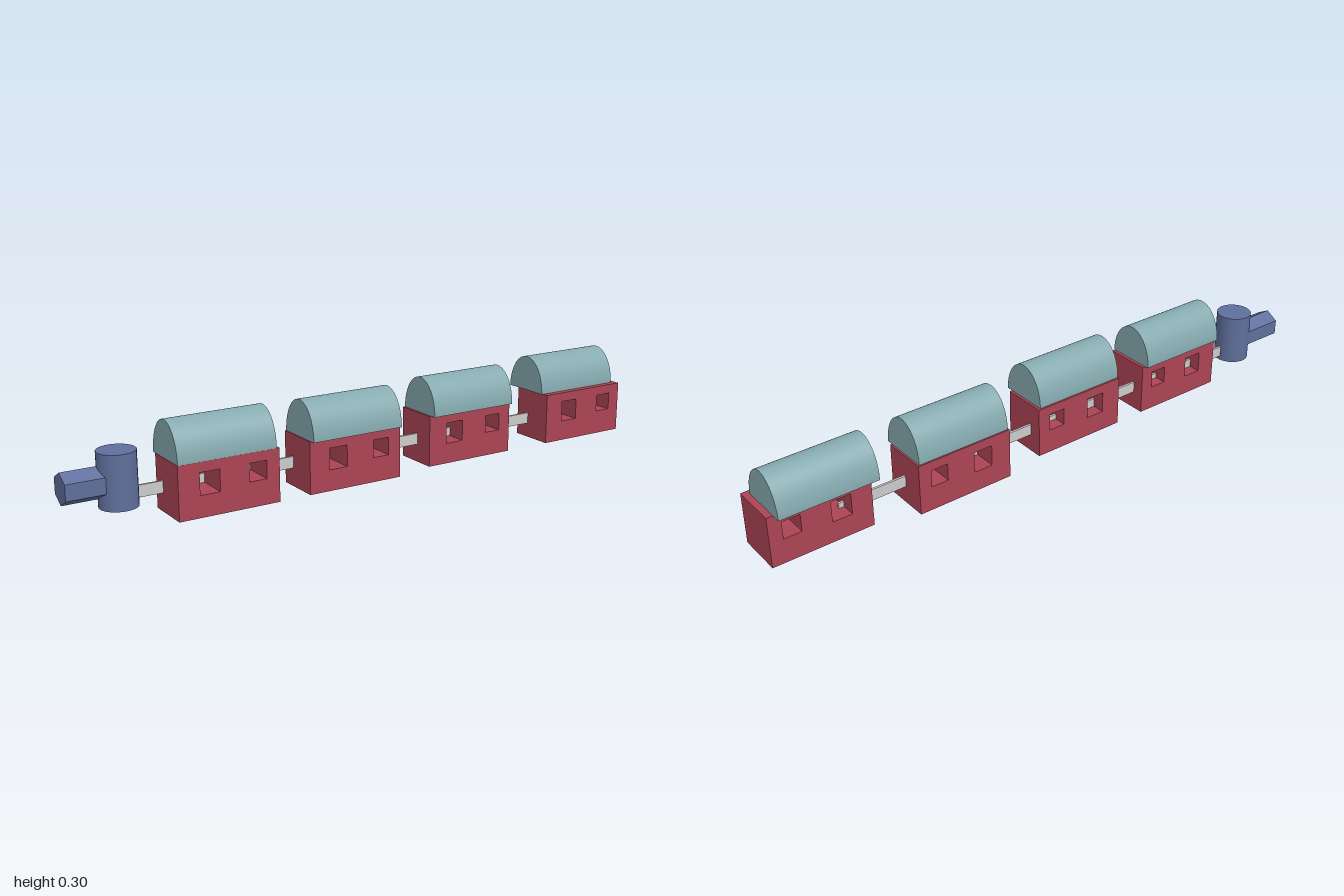
import * as THREE from 'three';

const red = new THREE.MeshStandardMaterial({ color: 0xac4455, flatShading: true });
const teal = new THREE.MeshStandardMaterial({ color: 0x85aaaf });
const blue = new THREE.MeshStandardMaterial({ color: 0x5f6f9c });
const blueFlat = new THREE.MeshStandardMaterial({ color: 0x5f6f9c, flatShading: true });
const grey = new THREE.MeshStandardMaterial({ color: 0xcccccc });

function rect(path, x0, y0, x1, y1) {
  path.moveTo(x0, y0);
  path.lineTo(x1, y0);
  path.lineTo(x1, y1);
  path.lineTo(x0, y1);
  path.closePath();
  return path;
}

function part(name, geometry, material, x, y, z) {
  const mesh = new THREE.Mesh(geometry, material);
  mesh.name = name;
  mesh.position.set(x, y, z);
  return mesh;
}

const BODY = { length: 0.328, height: 0.168, depth: 0.151 };
const ROOF = { length: 0.318, height: 0.117, halfWidth: 0.0835 };

// Box body with two window openings running straight through
function bodyGeometry() {
  const shape = rect(new THREE.Shape(), 0, 0, BODY.length, BODY.height);
  shape.holes.push(
    rect(new THREE.Path(), 0.068, 0.068, 0.132, 0.137),
    rect(new THREE.Path(), 0.228, 0.08, 0.285, 0.137)
  );
  return new THREE.ExtrudeGeometry(shape, { depth: BODY.depth, bevelEnabled: false });
}

// Barrel roof: half ellipse with a flat underside, running along x
function roofGeometry() {
  const shape = new THREE.Shape();
  shape.moveTo(ROOF.halfWidth, 0);
  shape.absellipse(0, 0, ROOF.halfWidth, ROOF.height, 0, Math.PI, false, 0);
  shape.closePath();
  const geometry = new THREE.ExtrudeGeometry(shape, {
    depth: ROOF.length, bevelEnabled: false, curveSegments: 32
  });
  return geometry.rotateY(Math.PI / 2);
}

export function createModel() {
  const model = new THREE.Group();
  model.name = 'toyTrain';

  // Carriages, each body and roof slightly out of line
  const cars = [
    { x: -0.698, y: 0, z: -0.064, roofX: -0.698, roofZ: 0.006 },
    { x: -0.264, y: 0, z: -0.067, roofX: -0.262, roofZ: 0.021 },
    { x: 0.203, y: 0, z: -0.1, roofX: 0.208, roofZ: -0.013 },
    { x: 0.672, y: 0.011, z: -0.071, roofX: 0.662, roofZ: -0.021 }
  ];
  const body = bodyGeometry();
  const roof = roofGeometry();
  cars.forEach((c, i) => {
    const car = new THREE.Group();
    car.name = 'carriage' + (i + 1);
    car.add(part('carriageBody', body, red, c.x, c.y, c.z));
    car.add(part('carriageRoof', roof, teal, c.roofX, c.y + BODY.height + 0.001, c.roofZ));
    model.add(car);
  });

  // Flat coupling bar through all the carriages
  model.add(part('couplingBar', new THREE.BoxGeometry(1.56, 0.037, 0.008), grey, -0.023, 0.078, -0.021));

  // Upright drum and six-sided nose at the end
  model.add(part('drum', new THREE.CylinderGeometry(0.058, 0.058, 0.167, 32), blue, -0.834, 0.129, -0.021));
  const nose = new THREE.CylinderGeometry(0.049, 0.049, 0.17, 6);
  nose.rotateZ(Math.PI / 2).rotateX(Math.PI);
  // Ridges point up and down
  const noseMesh = part('nose', nose, blueFlat, -0.915, 0.122, -0.03);
  nose.computeBoundingBox();
  const size = nose.boundingBox.getSize(new THREE.Vector3());
  if (size.z > size.y) nose.rotateX(Math.PI / 2);
  model.add(noseMesh);

  return model;
}
